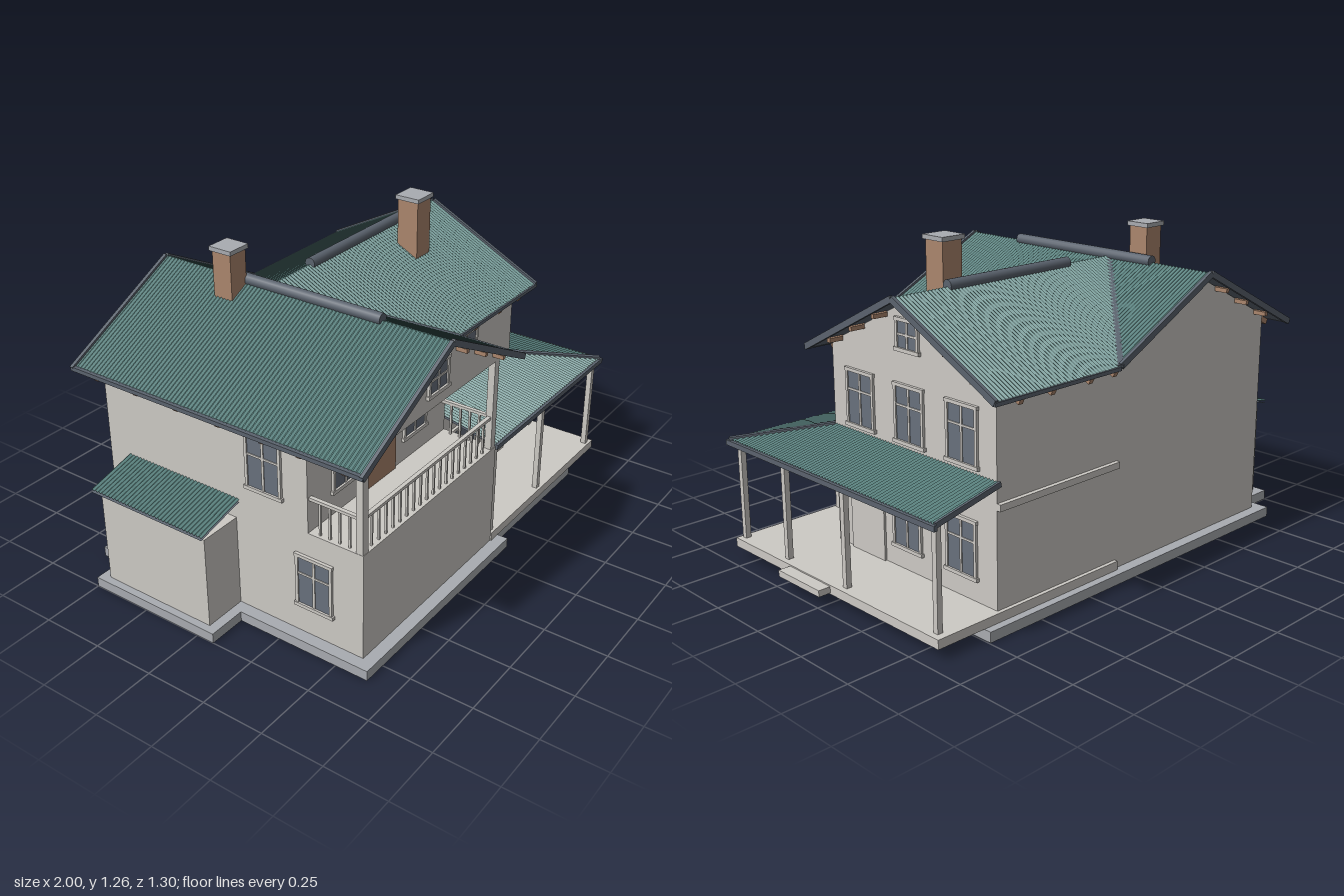
import * as THREE from 'three';

const mat = (name, color, side = THREE.FrontSide) => {
  const m = new THREE.MeshStandardMaterial({ color, side });
  m.name = name;
  return m;
};
const V = (x, y, z) => new THREE.Vector3(x, y, z);

export function createModel() {
  const wall = mat('plaster', 0xcdcac5);
  const roofTeal = mat('roof teal', 0x618b88, THREE.DoubleSide);
  const slate = mat('slate trim', 0x5b636e, THREE.DoubleSide);
  const wood = mat('brown wood', 0xab866d);
  const glass = mat('window glass', 0x68717d);
  const stone = mat('grey stone', 0xa9acb1);

  const house = new THREE.Group();
  house.name = 'house';

  const add = (name, geo, m, parent = house) => {
    const mesh = new THREE.Mesh(geo, m);
    mesh.name = name;
    parent.add(mesh);
    return mesh;
  };
  // Box from its limits on each axis
  const box = (name, m, x0, x1, y0, y1, z0, z1, parent) => {
    const b = add(name, new THREE.BoxGeometry(x1 - x0, y1 - y0, z1 - z0), m, parent);
    b.position.set((x0 + x1) / 2, (y0 + y1) / 2, (z0 + z1) / 2);
    return b;
  };
  // Square bar between two points
  const bar = (name, m, a, b, w, h) => {
    const r = add(name, new THREE.BoxGeometry(w, h, a.distanceTo(b)), m);
    r.position.copy(a).add(b).multiplyScalar(0.5);
    r.lookAt(b);
    return r;
  };
  const prism = (name, m, pts, depth) =>
    add(name, new THREE.ExtrudeGeometry(new THREE.Shape(pts.map(p => new THREE.Vector2(...p))),
      { depth, bevelEnabled: false }), m);

  // Corrugated sheet: edge(t) gives the top and bottom point of each fold, with a plain lining below
  const sheet = (name, t0, t1, edge) => {
    const build = (step, amp, drop) => {
      const n = Math.max(2, Math.round((t1 - t0) / step));
      const pos = [], idx = [];
      for (let i = 0; i <= n; i++) {
        const dy = (i % 2 ? amp : 0) - drop;
        for (const p of edge(t0 + (t1 - t0) * i / n)) pos.push(p.x, p.y + dy, p.z);
        if (i < n) idx.push(2 * i, 2 * i + 1, 2 * i + 2, 2 * i + 1, 2 * i + 3, 2 * i + 2);
      }
      let g = new THREE.BufferGeometry();
      g.setAttribute('position', new THREE.Float32BufferAttribute(pos, 3));
      g.setIndex(idx);
      g = g.toNonIndexed();
      g.computeVertexNormals();
      return g;
    };
    add(name, build(0.008, 0.006, 0), roofTeal);
    add(name + 'Lining', build(0.02, 0, 0.01), slate);
  };

  // Roof rules: ridge A runs along z at RX, ridge B runs along x at RZ
  const RX = -0.365, RZ = -0.14, TOP = 1.1, M = 0.51;
  const hA = x => TOP - M * Math.abs(x - RX);
  const hB = z => TOP - M * Math.abs(z - RZ);

  // Foundation, porch floor and step
  box('foundation', stone, -0.845, 0.12, 0, 0.04, -0.62, 0.635);
  box('sideFoundation', stone, 0.12, 0.745, 0, 0.04, -0.62, 0.585);
  box('shedFoundation', stone, -1, -0.845, 0, 0.04, -0.5, 0.075);
  box('porchFloor', wall, 0.07, 0.95, 0.04, 0.075, -0.59, 0.59);
  box('porchStep', wall, 0.9, 1, 0.045, 0.07, -0.01, 0.235);

  // Walls
  box('lowerWall', wall, -0.797, 0.07, 0.04, 0.47, -0.575, 0.585);
  const gableA = y => [[-0.797, y], [0.07, y], [0.07, hA(0.07) - 0.015], [RX, TOP - 0.015], [-0.797, hA(-0.797) - 0.015]];
  prism('upperWall', wall, gableA(0.46), 0.93).position.z = -0.575;
  prism('frontGable', wall, gableA(0.845), 0.03).position.z = 0.555;
  const wing = prism('wingWall', wall, [[-0.3, 0.04], [0.575, 0.04], [0.575, hB(-0.575) - 0.015],
    [-RZ, TOP - 0.015], [-0.3, hB(0.3) - 0.015]], 1.035);
  wing.rotation.y = Math.PI / 2;
  wing.position.x = RX;
  box('backBand', wall, 0.07, 0.67, 0.44, 0.465, -0.592, -0.57);
  box('shedWall', wall, -0.97, -0.79, 0.04, 0.41, -0.46, 0.035);

  // Main roof slopes, cut where the two roofs meet
  const slopeA = (x0, z) => [V(RX, TOP, z), V(x0, hA(x0), z)];
  const slopeB = (z0, x) => [V(x, TOP, RZ), V(x, hB(z0), z0)];
  sheet('leftRoof', -0.645, 0.645, z => slopeA(-0.88, z));
  sheet('rightRoof', -0.645, 0.645, z => slopeA(RX + Math.min(0.51, Math.abs(z - RZ)), z));
  for (const s of [-1, 1])
    sheet(s > 0 ? 'wingRoofFront' : 'wingRoofBack', RX, 0.745, x => slopeB(RZ + s * Math.min(0.505, x - RX), x));

  // Verge boards, eave boards, valleys and ridge caps
  for (const z of [-0.64, 0.64]) {
    bar('vergeBoard', slate, V(RX, TOP, z), V(-0.885, hA(-0.885), z), 0.014, 0.024);
    const x = z > 0 ? 0.145 : 0.135;
    bar('vergeBoard', slate, V(RX, TOP, z), V(x, hA(x), z), 0.014, 0.024);
  }
  for (const z of [-0.645, 0.365]) {
    bar('vergeBoard', slate, V(0.74, TOP, RZ), V(0.74, hB(z), z), 0.014, 0.024);
    bar('eaveBoard', slate, V(0.14, hB(z) - 0.004, z), V(0.745, hB(z) - 0.004, z), 0.01, 0.014);
    const d = Math.abs(z - RZ);
    bar('valley', slate, V(RX, TOP, RZ), V(RX + d, hB(z) + 0.003, z), 0.022, 0.01);
  }
  bar('eaveBoard', slate, V(-0.88, hA(-0.88), -0.645), V(-0.88, hA(-0.88), 0.645), 0.016, 0.016);
  bar('eaveBoard', slate, V(0.143, hA(0.143), 0.36), V(0.143, hA(0.143), 0.645), 0.01, 0.014);
  const capA = add('ridgeCap', new THREE.CylinderGeometry(0.022, 0.022, 0.715, 16), slate);
  capA.rotation.x = Math.PI / 2;
  capA.position.set(RX, 1.108, 0.002);
  const capB = add('ridgeCap', new THREE.CylinderGeometry(0.022, 0.022, 0.61, 16), slate);
  capB.rotation.z = Math.PI / 2;
  capB.position.set(0.185, 1.108, RZ);

  // Rafter tails and purlin ends
  const under = 0.024;
  for (const x of [0.16, 0.285, 0.47, 0.62])
    for (const [a, b] of [[0.28, 0.36], [-0.56, -0.64]])
      bar('rafterTail', wood, V(x, hB(a) - under, a), V(x, hB(b) - under, b), 0.02, 0.022);
  for (const z of [-0.54, -0.35, -0.16, 0.03, 0.22, 0.375, 0.555]) {
    bar('rafterTail', wood, V(-0.78, hA(-0.78) - under, z), V(-0.87, hA(-0.87) - under, z), 0.02, 0.022);
    if (z > 0.3) bar('rafterTail', wood, V(0.05, hA(0.05) - under, z), V(0.138, hA(0.138) - under, z), 0.02, 0.022);
  }
  for (const s of [-1, 1]) for (const d of [0.12, 0.25, 0.38]) {
    const y = TOP - M * d - 0.022;
    box('purlin', wood, RX + s * d - 0.008, RX + s * d + 0.008, y - 0.008, y + 0.008, 0.57, 0.63);
    box('purlin', wood, RX + s * d - 0.008, RX + s * d + 0.008, y - 0.008, y + 0.008, -0.63, -0.57);
    box('purlin', wood, 0.66, 0.73, y - 0.008, y + 0.008, RZ + s * d - 0.008, RZ + s * d + 0.008);
  }

  // Chimneys
  for (const [x, z, r, base, top] of [[0.387, -0.008, 0.046, 0.95, 1.245], [-0.419, -0.275, 0.042, 1, 1.232]]) {
    box('chimney', wood, x - r, x + r, base, top, z - r, z + r);
    box('chimneyCap', stone, x - r - 0.008, x + r + 0.008, top, top + 0.017, z - r - 0.008, z + r + 0.008);
  }

  // Porch and shed roofs
  const PX = 0.955, PZ = 0.585, PY = 0.477, WY = 0.54;
  const porchY = k => WY + (PY - WY) * k / 0.285;
  sheet('porchRoofFront', 0.07, PX, x => {
    const k = Math.max(0, x - 0.67);
    return [V(x, porchY(k), 0.3 + k), V(x, PY, PZ)];
  });
  sheet('porchRoofSide', -0.595, PZ, z => {
    const k = Math.max(0, z - 0.3);
    return [V(0.67 + k, porchY(k), z), V(PX, PY, z)];
  });
  bar('porchHip', slate, V(0.67, WY + 0.004, 0.3), V(PX, PY + 0.004, PZ), 0.02, 0.012);
  bar('porchVerge', slate, V(0.67, WY, -0.592), V(PX, PY, -0.592), 0.01, 0.02);
  box('porchFascia', slate, 0.07, 0.965, 0.457, 0.477, 0.58, 0.595);
  box('porchFascia', slate, 0.95, 0.965, 0.457, 0.477, -0.597, 0.595);
  sheet('shedRoof', -0.48, 0.05, z => [V(-0.797, 0.49, z), V(-1, 0.44, z)]);

  // Porch posts and beams
  for (const [x, z] of [[0.087, 0.568], [0.47, 0.568], [0.915, 0.568], [0.915, 0.287], [0.915, -0.065], [0.915, -0.55]])
    box('porchPost', wall, x - 0.011, x + 0.011, 0.075, 0.46, z - 0.011, z + 0.011);
  box('porchBeam', wall, 0.07, 0.927, 0.445, 0.462, 0.557, 0.579);
  box('porchBeam', wall, 0.904, 0.926, 0.445, 0.462, -0.561, 0.579);

  // Balcony posts, beams and railing
  for (const x of [-0.781, 0.052]) {
    box('balconyPost', wall, x - 0.015, x + 0.015, 0.47, 0.85, 0.555, 0.583);
    box('balconyBeam', wall, x - 0.015, x + 0.015, 0.825, 0.86, 0.35, 0.583);
    box('sideRail', wall, x - 0.008, x + 0.008, 0.598, 0.61, 0.355, 0.56);
    for (let i = 1; i < 5; i++)
      box('baluster', wall, x - 0.004, x + 0.004, 0.47, 0.6, 0.351 + i * 0.041, 0.359 + i * 0.041);
  }
  box('frontRail', wall, -0.77, 0.04, 0.598, 0.61, 0.561, 0.577);
  for (let i = 1; i < 19; i++) {
    const x = -0.77 + i * 0.81 / 19;
    box('baluster', wall, x - 0.004, x + 0.004, 0.47, 0.6, 0.565, 0.573);
  }

  // Windows: glass, frame, sill, head and glazing bars, facing local +z
  const addWindow = (x, y0, y1, z, w, turn = 0, cols = 2, split = 0.64) => {
    const g = new THREE.Group();
    g.name = 'window';
    g.position.set(x, y0, z);
    g.rotation.y = turn;
    house.add(g);
    const h = y1 - y0, r = w / 2;
    box('pane', glass, -r + 0.006, r - 0.006, 0.006, h - 0.006, -0.004, 0.004, g);
    for (const s of [-1, 1]) box('jamb', wall, s * (r - 0.005) - 0.006, s * (r - 0.005) + 0.006, 0, h, -0.005, 0.009, g);
    box('sill', wall, -r - 0.007, r + 0.007, -0.004, 0.01, -0.005, 0.012, g);
    box('head', wall, -r - 0.004, r + 0.004, h - 0.01, h + 0.003, -0.005, 0.011, g);
    box('crossBar', wall, -r, r, h * split - 0.004, h * split + 0.004, -0.004, 0.007, g);
    for (let i = 1; i < cols; i++) {
      const bx = -r + w * i / cols;
      box('uprightBar', wall, bx - 0.005, bx + 0.005, 0, h, -0.004, 0.007, g);
    }
  };
  const R = Math.PI / 2;
  addWindow(-0.585, 0.56, 0.77, 0.356, 0.15);
  addWindow(-0.147, 0.56, 0.77, 0.356, 0.15);
  addWindow(RX, 0.9, 1.017, 0.586, 0.127, 0, 2, 0.5);
  addWindow(0.302, 0.563, 0.78, 0.301, 0.162);
  addWindow(0.302, 0.157, 0.372, 0.301, 0.215, 0, 3);
  for (const z of [0.137, -0.137, -0.41]) addWindow(0.671, 0.563, 0.78, z, 0.155, R);
  for (const z of [-0.113, -0.401]) addWindow(0.671, 0.157, 0.372, z, 0.155, R);
  addWindow(0.671, 0.902, 1.017, RZ + 0.003, 0.12, R, 2, 0.5);
  addWindow(-0.798, 0.563, 0.78, 0.17, 0.155, -R);
  addWindow(-0.798, 0.157, 0.372, 0.38, 0.155, -R);

  // Doors
  box('balconyDoor', wood, -0.45, -0.277, 0.47, 0.795, 0.352, 0.363);
  box('porchDoor', wall, 0.668, 0.679, 0.075, 0.42, 0.016, 0.208);

  return house;
}
